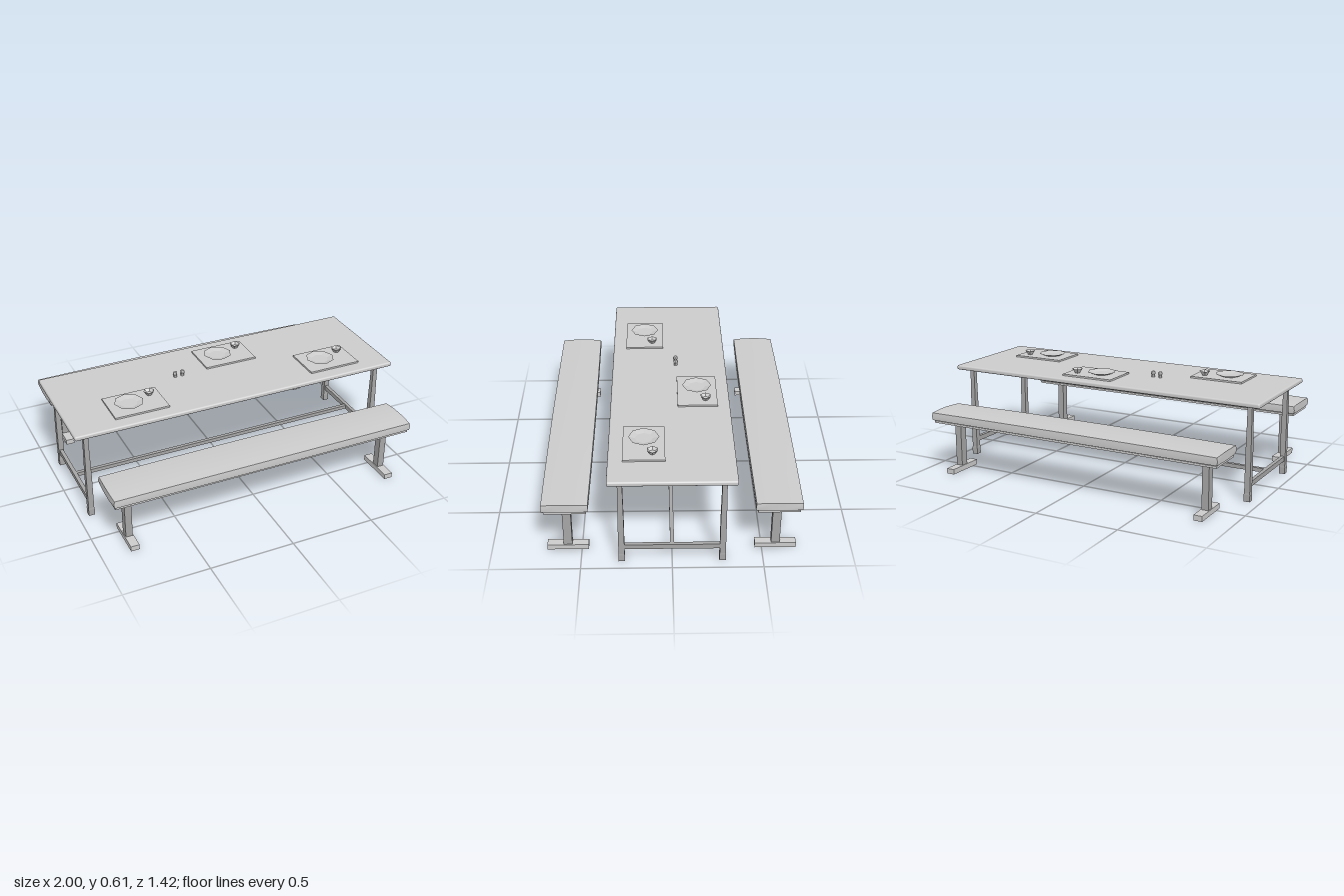
import * as THREE from 'three';
import { RoundedBoxGeometry } from 'three/addons/geometries/RoundedBoxGeometry.js';

const light = new THREE.MeshStandardMaterial({ color: 0xcccccc });
light.name = 'light grey';
const dark = new THREE.MeshStandardMaterial({ color: 0xa6a6a6 });
dark.name = 'mid grey';

function add(parent, name, geometry, material, x = 0, y = 0, z = 0) {
  const mesh = new THREE.Mesh(geometry, material);
  mesh.name = name;
  mesh.position.set(x, y, z);
  parent.add(mesh);
  return mesh;
}

// Box given by its bottom height and its top height
function slab(parent, name, material, w, y0, y1, d, x = 0, z = 0) {
  return add(parent, name, new THREE.BoxGeometry(w, y1 - y0, d), material, x, (y0 + y1) / 2, z);
}

// Faceted turned shape from [radius, height] pairs
function turned(points, sides, phi = 0) {
  const profile = points.map(([r, y]) => new THREE.Vector2(r, y));
  const g = new THREE.LatheGeometry(profile, sides, phi).toNonIndexed();
  g.computeVertexNormals();
  return g;
}

// Seat with a slightly domed top and softly bowed sides
function seatGeometry() {
  const L = 0.92, H = 0.022, W = 0.125;
  const g = new THREE.BoxGeometry(2 * L, 2 * H, 2 * W, 8, 2, 6);
  const p = g.attributes.position;
  for (let i = 0; i < p.count; i++) {
    const x = p.getX(i), y = p.getY(i), z = p.getZ(i);
    const u = 1 - (x / L) ** 2, v = 1 - (z / W) ** 2, h = 1 - (y / H) ** 2;
    if (y > 0) p.setY(i, y + 0.006 * v + 0.005 * u);
    p.setZ(i, z * (1 + 0.035 * u + 0.02 * h));
    p.setX(i, x * (1 - 0.005 * (1 - v) * (1 - h)));
  }
  g.computeVertexNormals();
  return g;
}

// Foot with two pockets open underneath
function footGeometry() {
  const w = 0.025, d = 0.115;
  const rect = (Path, x, y0, y1) => new Path()
    .moveTo(-x, y0).lineTo(x, y0).lineTo(x, y1).lineTo(-x, y1).closePath();
  const shape = rect(THREE.Shape, w, -d, d);
  shape.holes.push(rect(THREE.Path, 0.017, -0.105, -0.02), rect(THREE.Path, 0.017, 0.02, 0.105));
  return new THREE.ExtrudeGeometry(shape, { depth: 0.024, bevelEnabled: false }).rotateX(-Math.PI / 2);
}

function makeBench() {
  const bench = new THREE.Group();
  add(bench, 'benchSeat', seatGeometry(), light, 0, 0.345, 0);
  slab(bench, 'seatSupport', light, 1.82, 0.305, 0.317, 0.23);
  for (const x of [-0.81, 0.81]) {
    slab(bench, 'benchLeg', dark, 0.04, 0.028, 0.325, 0.048, x);
    add(bench, 'benchFoot', footGeometry(), light, x, 0, 0);
    slab(bench, 'benchFootTop', light, 0.05, 0.024, 0.031, 0.23, x);
  }
  return bench;
}

function makeTable() {
  const table = new THREE.Group();
  table.name = 'table';
  add(table, 'tableTop', new RoundedBoxGeometry(2, 0.028, 0.688, 3, 0.01), light, 0, 0.563, 0);

  // Square legs, tapering upwards from a wider foot
  const profile = [[0, 0], [0.018, 0], [0.018, 0.04], [0.0165, 0.05], [0.0165, 0.26], [0.014, 0.45], [0.0135, 0.552]]
    .map(([r, y]) => [r * Math.SQRT2, y]);
  const leg = turned(profile, 4, Math.PI / 4);
  for (const x of [-0.924, 0.924]) {
    for (const z of [-0.277, 0.277]) add(table, 'tableLeg', leg, dark, x, 0, z);
    slab(table, 'crossRail', dark, 0.022, 0.08, 0.109, 0.53, x);
  }
  slab(table, 'longRail', dark, 1.84, 0.084, 0.107, 0.022);
  return table;
}

// Mat with a plate and a small bowl
function makePlaceSetting() {
  const setting = new THREE.Group();
  setting.name = 'placeSetting';
  slab(setting, 'placeMat', light, 0.323, 0.576, 0.587, 0.23);
  const plate = turned([[0, 0], [0.048, 0], [0.085, 0.015], [0.05, 0.005], [0, 0.005]], 8);
  add(setting, 'plate', plate, light, -0.04, 0.587, 0);
  const bowl = turned([[0, 0], [0.015, 0], [0.02, 0.008], [0.033, 0.026], [0.018, 0.01], [0, 0.008]], 6, Math.PI / 6);
  add(setting, 'bowl', bowl, light, 0.1, 0.587, -0.047);
  return setting;
}

export function createModel() {
  const model = new THREE.Group();
  model.name = 'diningSet';
  model.add(makeTable());

  for (const side of [1, -1]) {
    const bench = makeBench();
    bench.name = side > 0 ? 'frontBench' : 'backBench';
    bench.position.z = side * 0.577;
    model.add(bench);
  }

  for (const [x, z] of [[-0.578, 0.15], [0.111, -0.158], [0.652, 0.15]]) {
    const setting = makePlaceSetting();
    setting.position.set(x, 0, z);
    model.add(setting);
  }

  // Salt and pepper
  const shaker = turned([[0, 0], [0.011, 0], [0.01, 0.012], [0.014, 0.02], [0.014, 0.027], [0.009, 0.034], [0, 0.036]], 8);
  for (const x of [-0.257, -0.211]) add(model, 'shaker', shaker, light, x, 0.577, -0.04);
  return model;
}
